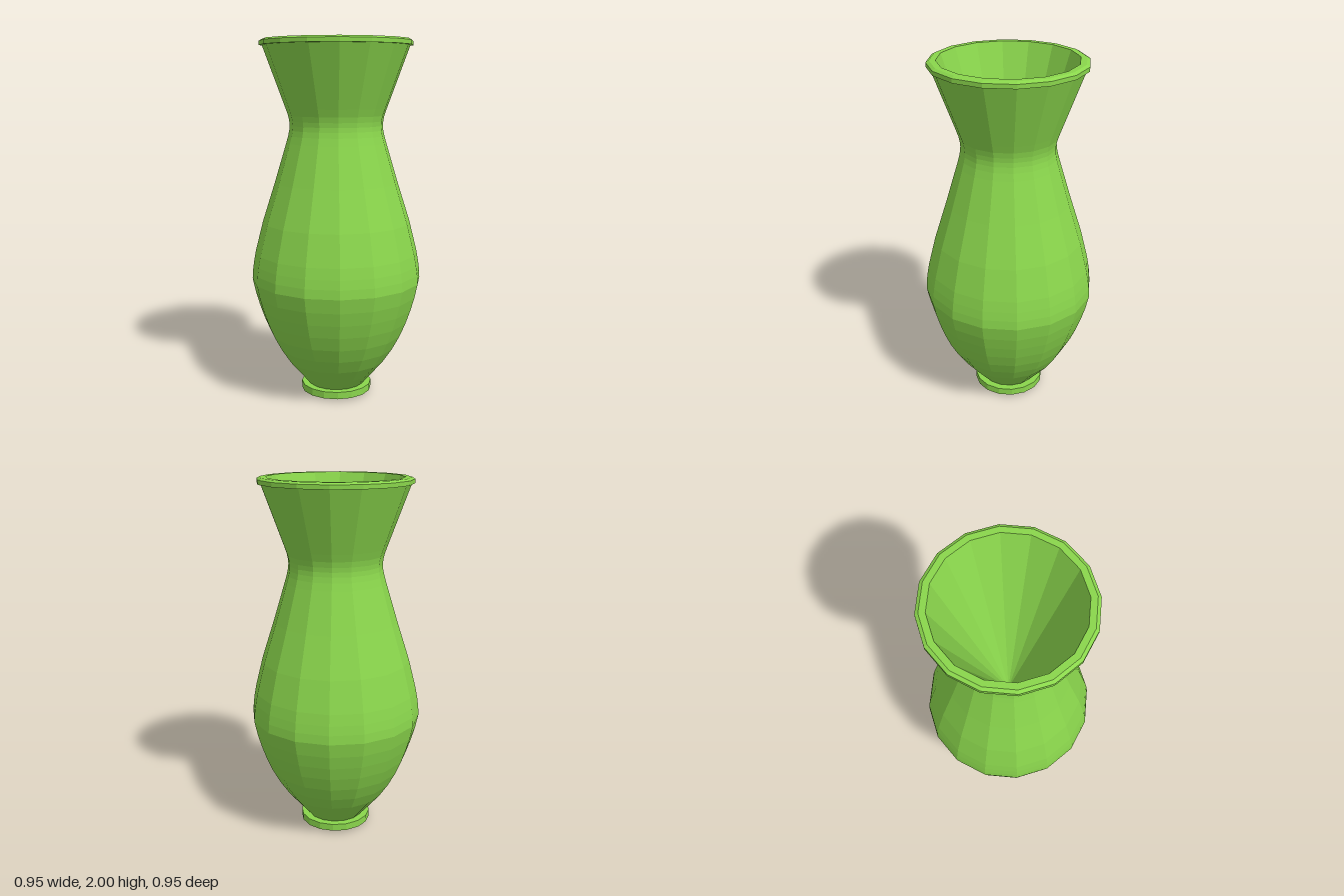
import * as THREE from 'three';

const SIDES = 16;

export function createModel() {
  const group = new THREE.Group();
  const glaze = new THREE.MeshStandardMaterial({ color: 0x8ad64c, flatShading: true });

  // Turn a profile of [radius, height] pairs into a faceted surface (bottom to top faces outward)
  const turn = (name, profile) => {
    const points = profile.map(([r, y]) => new THREE.Vector2(r, y));
    const mesh = new THREE.Mesh(new THREE.LatheGeometry(points, SIDES), glaze);
    mesh.name = name;
    group.add(mesh);
  };

  // Stepped foot
  turn('foot', [[0, 0], [0.16, 0], [0.16, 0.015], [0.2, 0.015], [0.2, 0.055], [0.15, 0.055]]);

  // Swelling body, narrow neck and flared mouth
  turn('body', [
    [0.155, 0.05], [0.215, 0.12], [0.282, 0.2], [0.335, 0.28], [0.378, 0.36],
    [0.412, 0.44], [0.438, 0.515], [0.46, 0.59], [0.477, 0.67], [0.474, 0.72],
    [0.467, 0.77], [0.456, 0.83], [0.413, 1.0], [0.343, 1.22], [0.277, 1.44],
    [0.266, 1.48], [0.26, 1.51], [0.258, 1.535], [0.26, 1.56], [0.266, 1.59],
    [0.28, 1.63], [0.404, 1.967],
  ]);

  // Bevelled rim
  turn('rim', [[0.395, 1.967], [0.42, 1.967], [0.42, 1.99], [0.403, 2], [0.37, 2]]);

  // Hollow interior tapering to a point
  turn('interior', [[0.37, 2], [0, 0.9]]);

  return group;
}
